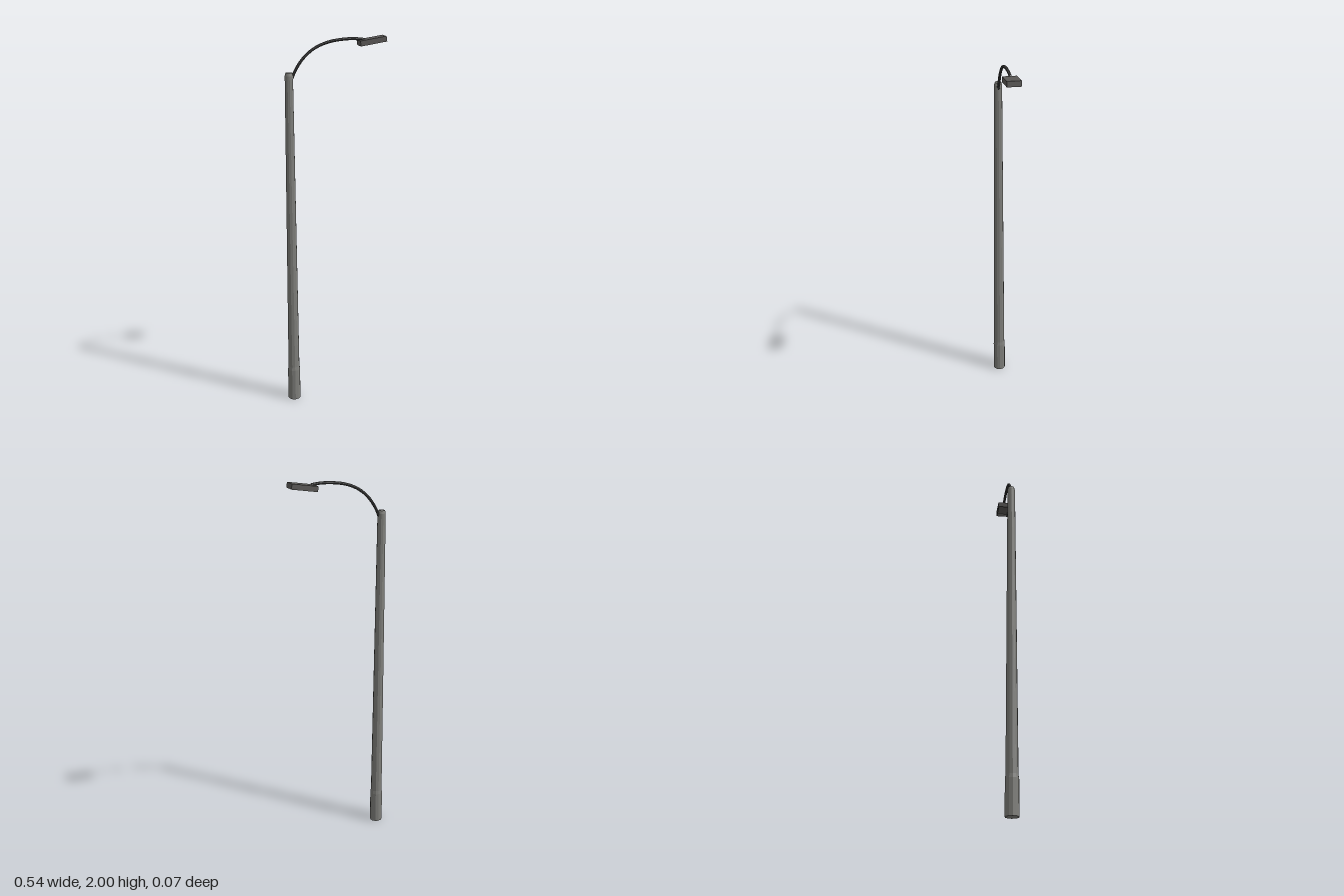
import * as THREE from 'three';

const paint = (name, color) => {
  const m = new THREE.MeshStandardMaterial({ color, flatShading: true });
  m.name = name;
  return m;
};

export function createModel() {
  const group = new THREE.Group();
  const poleGrey = paint('pole grey', 0x80807c);
  const darkMetal = paint('dark metal', 0x484848);
  const lampGrey = paint('lamp grey', 0x5c5a58);
  const add = (name, geometry, material, parent = group) => {
    const mesh = new THREE.Mesh(geometry, material);
    mesh.name = name;
    parent.add(mesh);
    return mesh;
  };

  // Tapered pole with a thicker foot and a chamfered top
  const profile = [[0, 0], [0.035, 0], [0.034, 0.18], [0.031, 0.2], [0.021, 1.815], [0.017, 1.83], [0, 1.83]]
    .map(([r, y]) => new THREE.Vector2(r, y));
  add('pole', new THREE.LatheGeometry(profile, 12), poleGrey).position.x = -0.233;

  // Curved arm from the pole top to the lamp
  const path = new THREE.CatmullRomCurve3([
    [-0.222, 1.79], [-0.2, 1.84], [-0.158, 1.9], [-0.1, 1.947], [-0.03, 1.975], [0.05, 1.987], [0.11, 1.988], [0.155, 1.983],
  ].map(([x, y]) => new THREE.Vector3(x, y, 0)));
  add('arm', new THREE.TubeGeometry(path, 20, 0.0075, 8), darkMetal);

  // Tilted lamp head: a shallow box, open underneath
  const lamp = new THREE.Group();
  lamp.name = 'lampHead';
  lamp.position.set(0.197, 1.976, 0);
  lamp.rotation.z = 0.155;
  group.add(lamp);
  const [length, height, width, rim] = [0.138, 0.027, 0.07, 0.006];
  add('lampTop', new THREE.BoxGeometry(length, 0.014, width), lampGrey, lamp).position.y = 0.0065;
  for (const s of [-1, 1]) {
    add('lampSide', new THREE.BoxGeometry(length, height, rim), lampGrey, lamp).position.z = s * (width - rim) / 2;
    add('lampEnd', new THREE.BoxGeometry(rim, height, width - 2 * rim), lampGrey, lamp).position.x = s * (length - rim) / 2;
  }
  return group;
}
